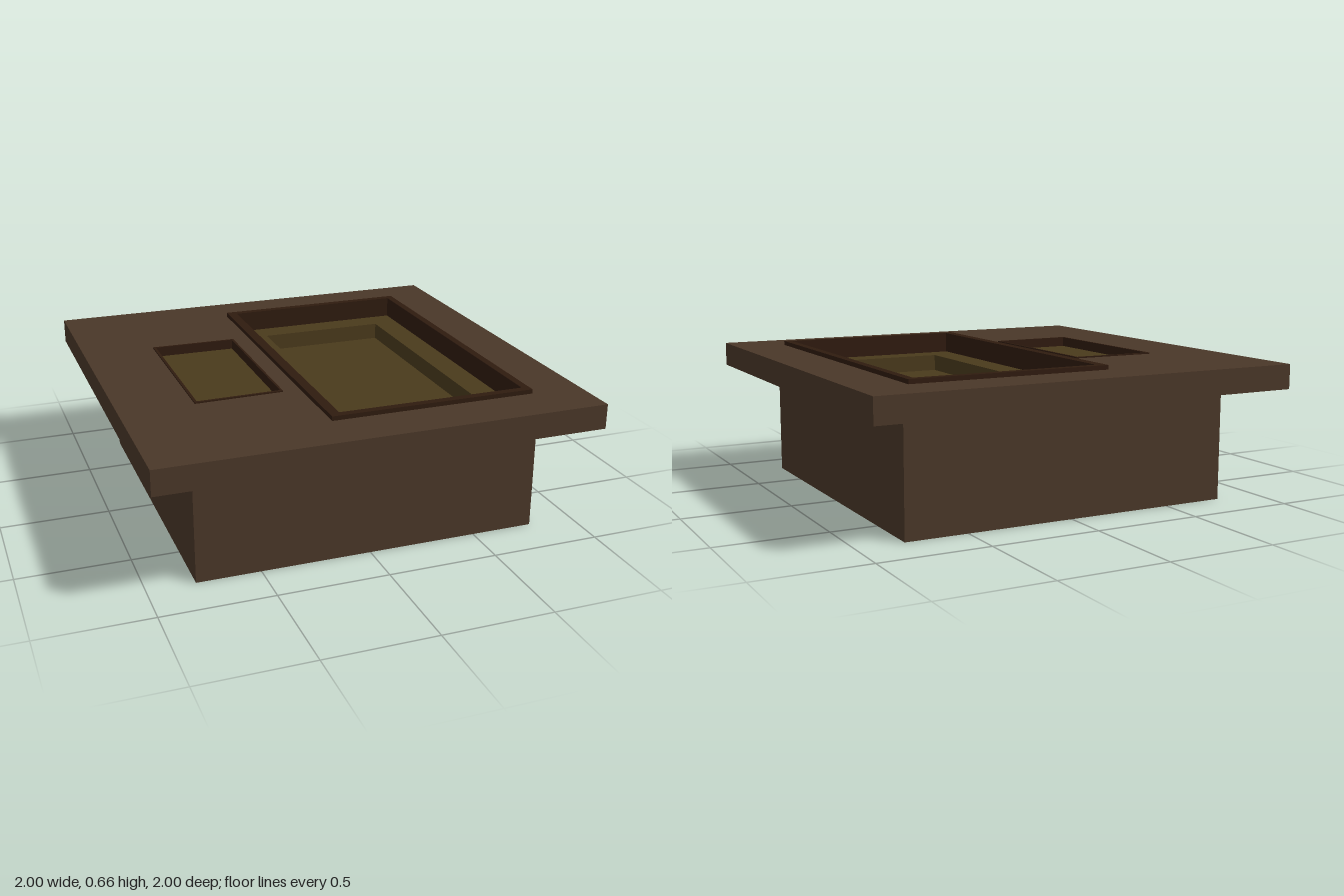
import * as THREE from 'three';

const material = (color) => new THREE.MeshStandardMaterial({ color });
const wood = material(0x4a3728);
const darkWood = material(0x2f1b0f);
const felt = material(0x4a3a1c);

// Corners of a rectangle seen from above; z is flipped for the extrusion.
const rect = (x0, x1, z0, z1) =>
  [[x0, -z1], [x1, -z1], [x1, -z0], [x0, -z0]].map(([x, y]) => new THREE.Vector2(x, y));

// Horizontal slab between two heights, with optional cut-outs.
function slab(name, mat, outline, holes, y0, y1) {
  const shape = new THREE.Shape(outline);
  for (const hole of holes) shape.holes.push(new THREE.Path(hole));
  const geo = new THREE.ExtrudeGeometry(shape, { depth: y1 - y0, bevelEnabled: false });
  geo.rotateX(-Math.PI / 2).translate(0, y0, 0);
  const mesh = new THREE.Mesh(geo, mat);
  mesh.name = name;
  return mesh;
}

export function createModel() {
  const model = new THREE.Group();
  model.name = 'gameTable';

  const wellOuter = rect(-0.18, 0.76, -0.78, 0.775);
  const wellInner = rect(-0.135, 0.725, -0.745, 0.74);
  const wellStep = rect(-0.01, 0.605, -0.625, 0.62);
  const v = (x, z) => new THREE.Vector2(x, -z);
  // The side tray tapers slightly towards the well.
  const trayOuter = [v(-0.665, 0.393), v(-0.262, 0.383), v(-0.262, -0.388), v(-0.665, -0.395)];
  const trayInner = [v(-0.653, 0.38), v(-0.272, 0.372), v(-0.272, -0.378), v(-0.653, -0.384)];

  // Pedestal, open on top so that the well can sink into it
  const box = new THREE.BoxGeometry(1.575, 0.53, 1.575);
  box.translate(0, 0.265, 0);
  box.setIndex([...box.index.array].filter((_, i) => i < 12 || i > 17));
  box.clearGroups();
  const pedestal = new THREE.Mesh(box, wood);
  pedestal.name = 'pedestal';
  model.add(pedestal);

  // Table top and the thin plate under it
  model.add(
    slab('tableTop', wood, rect(-1, 1, -1, 1), [wellOuter, trayOuter], 0.527, 0.64),
    slab('undersidePlate', wood, rect(-0.92, 0.92, -0.92, 0.92),
      [rect(-0.78, 0.78, -0.78, 0.78)], 0.521, 0.53),
  );

  // Large stepped well
  const well = new THREE.Group();
  well.name = 'well';
  well.add(
    slab('wellRim', darkWood, wellOuter, [wellInner], 0.56, 0.66),
    slab('wellLedge', felt, wellOuter, [wellStep], 0.48, 0.561),
    slab('wellFloor', felt, wellOuter, [], 0.46, 0.482),
  );
  model.add(well);

  // Shallow side tray
  const tray = new THREE.Group();
  tray.name = 'sideTray';
  tray.add(
    slab('trayRim', darkWood, trayOuter, [trayInner], 0.59, 0.646),
    slab('trayFloor', felt, trayOuter, [], 0.57, 0.6),
  );
  model.add(tray);

  return model;
}
